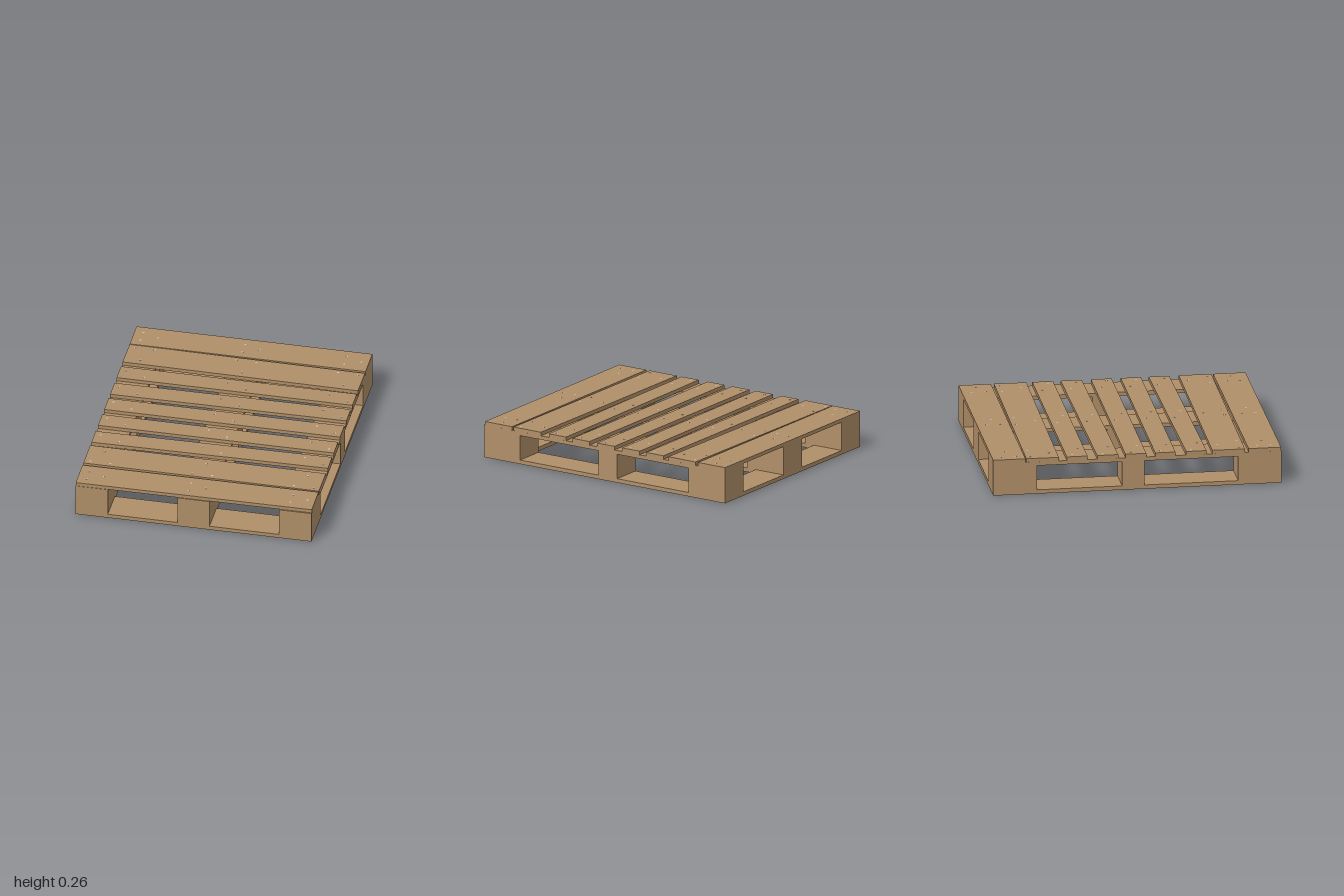
import * as THREE from 'three';

const wood = new THREE.MeshStandardMaterial({ color: 0xb08f68 });
const steel = new THREE.MeshStandardMaterial({ color: 0xcccccc });

// Layer heights, from the ground up
const BASE = 0.028, BLOCK = 0.203, RAIL = 0.23, TOP = 0.256;
// Three lengthwise columns: [x min, x max]
const COLUMNS = [[-0.828, -0.602], [-0.113, 0.112], [0.602, 0.828]];
// Three rows of blocks: [z min, z max]
const ROWS = [[-1, -0.697], [-0.105, 0.05], [0.7, 1]];

// Deck slats: [centre z, width, z drift from left to right edge, nail pattern]
const SLATS = [
  [-0.888, 0.224, 0, 'end'],
  [-0.65, 0.225, 0.015, 'wide'],
  [-0.417, 0.144, 0, 'narrow'],
  [-0.212, 0.146, -0.014, 'narrow'],
  [-0.01, 0.144, 0, 'narrow'],
  [0.195, 0.14, 0, 'narrow'],
  [0.4, 0.142, -0.02, 'narrow'],
  [0.637, 0.226, 0.007, 'wide'],
  [0.882, 0.225, -0.007, 'end'],
];

// Nail offsets from the column centre and the slat centre
const NAILS = {
  narrow: [[-0.07, -0.03], [0.07, 0.03]],
  wide: [[-0.07, 0.08], [0.07, 0.08], [0, -0.06]],
  end: [[-0.05, -0.045], [-0.05, 0.05], [0.06, 0]],
};

function board(name, x0, x1, y0, y1, z0, z1) {
  const mesh = new THREE.Mesh(new THREE.BoxGeometry(x1 - x0, y1 - y0, z1 - z0), wood);
  mesh.position.set((x0 + x1) / 2, (y0 + y1) / 2, (z0 + z1) / 2);
  mesh.name = name;
  return mesh;
}

export function createModel() {
  const pallet = new THREE.Group();
  pallet.name = 'pallet';

  // Bottom frame: a crosswise board at each end
  pallet.add(board('backBottomBoard', -0.828, 0.828, 0, BASE, -1, -0.77));
  pallet.add(board('frontBottomBoard', -0.828, 0.828, 0, BASE, 0.77, 1));

  // Each column: bottom runner, three blocks and an upper rail
  for (const [x0, x1] of COLUMNS) {
    pallet.add(board('bottomRunner', x0, x1, 0, BASE, -0.77, 0.77));
    for (const [z0, z1] of ROWS) pallet.add(board('spacerBlock', x0, x1, BASE, BLOCK, z0, z1));
    pallet.add(board('upperRail', x0, x1, BLOCK, RAIL, -1, 1));
  }

  // Deck slats, some laid slightly askew, with their nail heads
  const nailGeometry = new THREE.CylinderGeometry(0.007, 0.007, 0.004, 12);
  SLATS.forEach(([z, width, drift, pattern]) => {
    const slat = new THREE.Group();
    slat.name = 'deckSlat';
    slat.add(board('slatBoard', -0.828, 0.828, RAIL, TOP, -width / 2, width / 2));
    for (const [x0, x1] of COLUMNS) {
      for (const [dx, dz] of NAILS[pattern]) {
        const nail = new THREE.Mesh(nailGeometry, steel);
        nail.name = 'nailHead';
        // Wide slats are nailed as mirror images about the middle
        const side = pattern === 'wide' && z < 0 ? -1 : 1;
        nail.position.set((x0 + x1) / 2 + dx, TOP - 0.001, dz * side);
        slat.add(nail);
      }
    }
    slat.position.z = z;
    slat.rotation.y = -Math.atan(drift / 1.656);
    pallet.add(slat);
  });

  return pallet;
}
